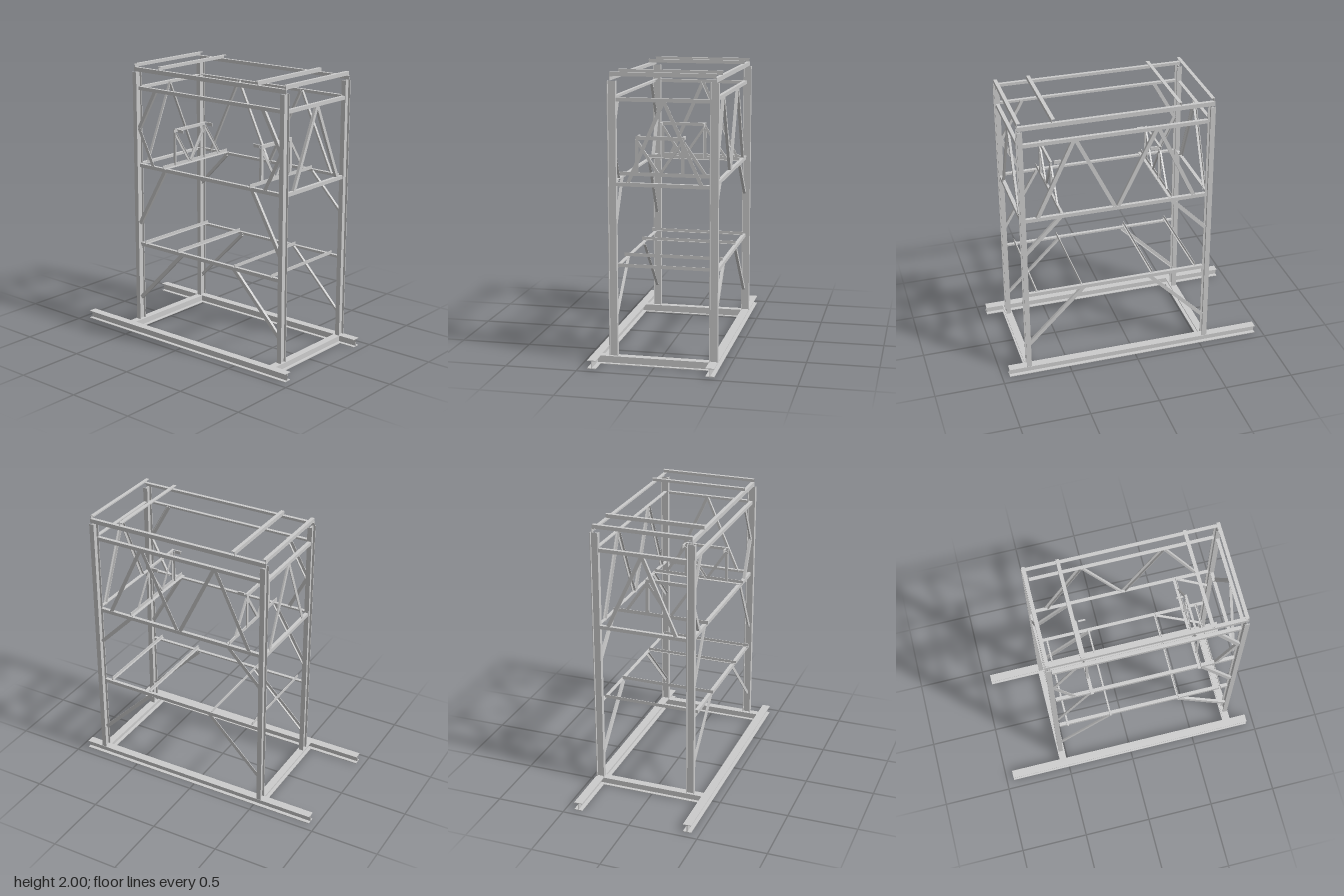
import * as THREE from 'three';

const material = new THREE.MeshStandardMaterial({ color: 0xcccccc, flatShading: true });
const V = (x, y, z) => new THREE.Vector3(x, y, z);
const X = V(1, 0, 0), Y = V(0, 1, 0), Z = V(0, 0, 1);

const outline = (pts) => new THREE.Shape(pts.map(([a, b]) => new THREE.Vector2(a, b)));

// I section: w = flange width, h = depth
function iSection(w, h, t = 0.005) {
  const a = w / 2, b = h / 2, c = t / 2;
  return outline([[-a, -b], [a, -b], [a, t - b], [c, t - b], [c, b - t], [a, b - t],
    [a, b], [-a, b], [-a, b - t], [-c, b - t], [-c, t - b], [-a, t - b]]);
}

// L section, su and sv give the side on which the corner lies
function angle(w, h, su, sv, t = 0.004) {
  const a = w / 2, b = h / 2;
  return outline([[a, b], [-a, b], [-a, b - t], [a - t, b - t], [a - t, -b], [a, -b]]
    .map(([u, v]) => [u * su, v * sv]));
}

// Sweeps a section from a to b; its vertical axis follows the direction v
function member(parent, name, section, a, b, v) {
  const w = b.clone().sub(a), depth = w.length();
  w.normalize();
  const u = v.clone().cross(w).normalize();
  const geo = new THREE.ExtrudeGeometry(section, { depth, bevelEnabled: false });
  geo.applyMatrix4(new THREE.Matrix4().makeBasis(u, w.clone().cross(u), w).setPosition(a));
  const mesh = new THREE.Mesh(geo, material);
  mesh.name = name;
  parent.add(mesh);
}

const alongX = (g, name, sec, x0, x1, y, z) => member(g, name, sec, V(x1, y, z), V(x0, y, z), Y);
const alongZ = (g, name, sec, z0, z1, x, y) => member(g, name, sec, V(x, y, z0), V(x, y, z1), Y);

export function createModel() {
  const model = new THREE.Group();
  model.name = 'steelFrame';

  // Ground runners
  for (const x of [-0.409, 0.407])
    alongZ(model, 'baseRunner', iSection(0.06, 0.06), -0.945, 0.945, x, 0.03);

  // The tower is symmetric about its own centre plane
  const tower = new THREE.Group();
  tower.name = 'tower';
  tower.position.z = 0.13;
  model.add(tower);

  for (const s of [1, -1]) {
    // Base cross beams and columns
    alongX(tower, 'baseCrossBeam', iSection(0.053, 0.06), -0.405, 0.404, 0.03, s * 0.665);
    for (const x of [-0.288, 0.405])
      member(tower, 'column', iSection(0.035, 0.058), V(x, 0.06, s * 0.668), V(x, 1.94, s * 0.668), X);

    // End truss: two chords and an inverted V
    const zt = s * 0.668;
    for (const y of [1.82, 1.253])
      alongX(tower, 'endChord', angle(0.025, 0.026, s, 1), -0.262, 0.378, y, zt);
    for (const x of [-0.185, 0.325])
      member(tower, 'endDiagonal', angle(0.025, 0.02, 1, s), V(x, 1.25, zt), V(0.065, 1.815, zt), Z);

    // Roof cross bars
    for (const z of [0.67, 0.437])
      alongX(tower, 'roofBar', angle(0.025, 0.027, s, 1), -0.3, 0.417, 1.9865, s * z);

    // Light floor bars
    for (const z of [0.585, 0.26])
      alongX(tower, 'floorBar', angle(0.014, 0.024, s, -1), -0.315, 0.392, 0.677, s * z);

    // Bracket support bar and bracket
    const bracket = new THREE.Group();
    bracket.name = 'bracket';
    tower.add(bracket);
    alongX(bracket, 'bracketSupport', angle(0.025, 0.026, s, -1), -0.315, 0.392, 1.278, s * 0.39);
    const zb = s * 0.395;
    alongX(bracket, 'bracketTop', angle(0.016, 0.025, s, 1), -0.195, 0.145, 1.528, zb);
    for (const x of [-0.185, 0.135]) {
      member(bracket, 'bracketPost', angle(0.024, 0.018, 1, s), V(x, 1.275, zb), V(x, 1.518, zb), Z);
      alongZ(bracket, 'bracketArm', angle(0.012, 0.025, 1, 1), s * 0.35 - 0.025, s * 0.35 + 0.025, x, 1.528);
    }
    for (const [x0, x1] of [[-0.185, -0.035], [0.13, -0.025], [0.14, 0.295]])
      member(bracket, 'bracketDiagonal', angle(0.02, 0.012, 1, s), V(x0, 1.505, zb), V(x1, 1.28, zb), Z);
  }

  // Long sides, e is the outward direction
  for (const [e, x, roofX] of [[1, 0.393, 0.408], [-1, -0.288, -0.288]]) {
    const side = new THREE.Group();
    side.name = e > 0 ? 'leftSide' : 'rightSide';
    tower.add(side);
    alongZ(side, 'roofRail', angle(0.025, 0.03, e, 1), -0.685, 0.685, roofX, 1.958);
    for (const y of [1.823, 1.253, 0.652])
      alongZ(side, 'sideRail', angle(0.025, 0.026, e, 1), -0.645, 0.645, x, y);

    const brace = (name, z0, y0, z1, y1) =>
      member(side, name, angle(0.027, 0.02, 1, e), V(x, y0, z0), V(x, y1, z1), X);

    for (const s of [1, -1]) {
      brace('lowerKneeBrace', s * 0.655, 0.23, s * 0.245, 0.645);
      if (e > 0) {
        // Closed side: knees and a zigzag truss
        brace('kneeBrace', s * 0.655, 0.985, s * 0.4, 1.245);
        brace('trussDiagonal', s * 0.565, 1.25, s * 0.295, 1.82);
        brace('trussDiagonal', s * 0.005, 1.25, s * 0.285, 1.82);
      } else {
        // Open side: longer knees and corner braces
        brace('kneeBrace', s * 0.655, 0.81, s * 0.4, 1.25);
        brace('upperCornerBrace', s * 0.65, 1.53, s * 0.49, 1.815);
        brace('lowerCornerBrace', s * 0.65, 1.53, s * 0.505, 1.245);
      }
    }
  }
  return model;
}
